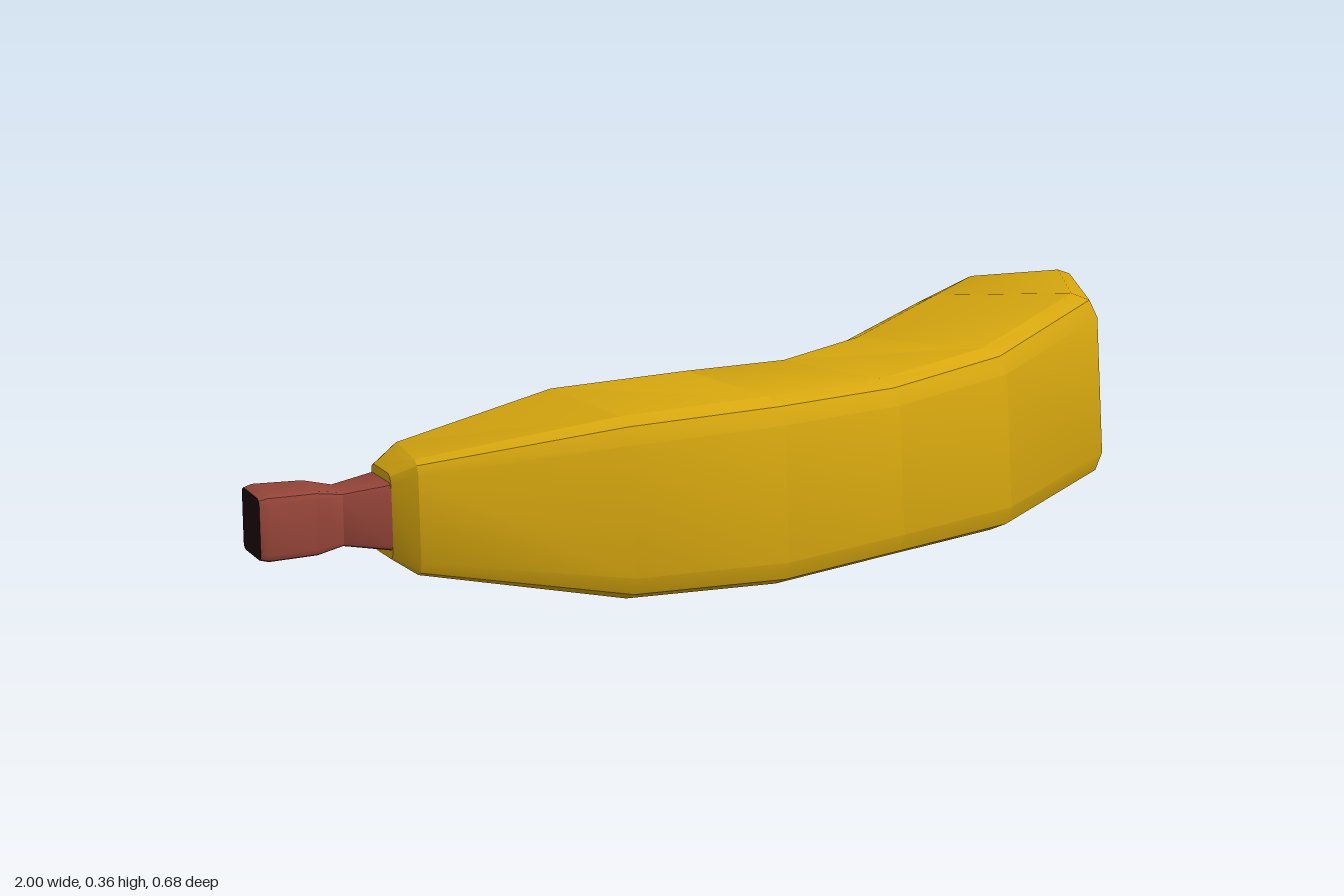
import * as THREE from 'three';
import { toCreasedNormals } from 'three/addons/utils/BufferGeometryUtils.js';

const MID_Y = 0.187; // height of the fruit's centre line
const ROLL = 0.05;   // slight roll of the whole fruit about x

// Rounded rectangle standing between an outer and an inner plan point
function ring([ox, oz, ix, iz, h], round) {
  const cx = (ox + ix) / 2, cz = (oz + iz) / 2;
  const w = Math.hypot(ox - ix, oz - iz) / 2;
  const ux = (ox - cx) / w, uz = (oz - cz) / w;
  const r = round * Math.min(w, h);
  const pts = [];
  for (let c = 0; c < 4; c++) {
    const su = c === 0 || c === 3 ? 1 : -1, sv = c < 2 ? 1 : -1;
    for (let k = 0; k < 3; k++) {
      const a = (c + k / 2) * Math.PI / 2;
      const u = su * (w - r) + r * Math.cos(a);
      const v = sv * (h - r) + r * Math.sin(a);
      const z = cz + uz * u;
      pts.push([cx + ux * u, MID_Y + v + ROLL * (z - 0.1), z - ROLL * v]);
    }
  }
  return pts;
}

// Skin a run of sections; a single section with one cap gives a flat plate
function loft(sections, round, capStart, capEnd) {
  const rings = sections.map((s) => ring(s, round));
  const pos = [];
  const tri = (a, b, c) => pos.push(...a, ...b, ...c);
  const n = rings[0].length;
  for (let i = 0; i + 1 < rings.length; i++) {
    const a = rings[i], b = rings[i + 1];
    for (let j = 0; j < n; j++) {
      const k = (j + 1) % n;
      tri(a[j], b[j], a[k]);
      tri(b[j], b[k], a[k]);
    }
  }
  const first = rings[0], last = rings[rings.length - 1];
  for (let j = 1; j + 1 < n; j++) {
    if (capStart) tri(first[0], first[j], first[j + 1]);
    if (capEnd) tri(last[0], last[j + 1], last[j]);
  }
  const g = new THREE.BufferGeometry();
  g.setAttribute('position', new THREE.Float32BufferAttribute(pos, 3));
  return toCreasedNormals(g, 0.4);
}

// Square stem section: centre x, z, half width, half height
const stemSection = (x, z, w, h) =>
  [x - 0.46 * w, z + 0.89 * w, x + 0.46 * w, z - 0.89 * w, h];

export function createModel() {
  const peel = new THREE.MeshStandardMaterial({ color: 0xd8a80f });
  const stemBrown = new THREE.MeshStandardMaterial({ color: 0x964539 });
  const tipDark = new THREE.MeshStandardMaterial({ color: 0x1a0a0c });
  peel.name = 'peelYellow';
  stemBrown.name = 'stemBrown';
  tipDark.name = 'tipDark';

  const group = new THREE.Group();
  group.name = 'banana';
  const add = (name, geometry, material) => {
    const mesh = new THREE.Mesh(geometry, material);
    mesh.name = name;
    group.add(mesh);
  };

  // Peel: outer x, z, inner x, z, half height, from stem to blossom end
  const tip = [0.985, -0.28, 0.94, -0.332, 0.05];
  add('peel', loft([
    [-0.78, -0.125, -0.735, -0.225, 0.08],
    [-0.762, -0.07, -0.665, -0.24, 0.108],
    [-0.47, 0.19, -0.38, -0.155, 0.17],
    [-0.2, 0.305, -0.15, -0.05, 0.175],
    [0.06, 0.333, 0.04, 0, 0.165],
    [0.34, 0.318, 0.22, -0.008, 0.17],
    [0.74, 0.13, 0.51, -0.12, 0.172],
    [0.994, -0.205, 0.81, -0.325, 0.118],
    [0.992, -0.245, 0.89, -0.34, 0.095],
    tip,
  ], 0.27, true, false), peel);

  // Dark blossom end closing the peel
  add('blossomTip', loft([tip], 0.27, false, true), tipDark);

  // Flared stem with a dark cut face
  const cut = stemSection(-0.975, -0.29, 0.058, 0.058);
  add('stem', loft([
    cut,
    stemSection(-0.96, -0.283, 0.062, 0.062),
    stemSection(-0.875, -0.242, 0.056, 0.06),
    stemSection(-0.83, -0.217, 0.042, 0.05),
    stemSection(-0.75, -0.176, 0.06, 0.064),
  ], 0.2, false, true), stemBrown);
  add('stemCut', loft([cut], 0.2, true, false), tipDark);

  return group;
}
